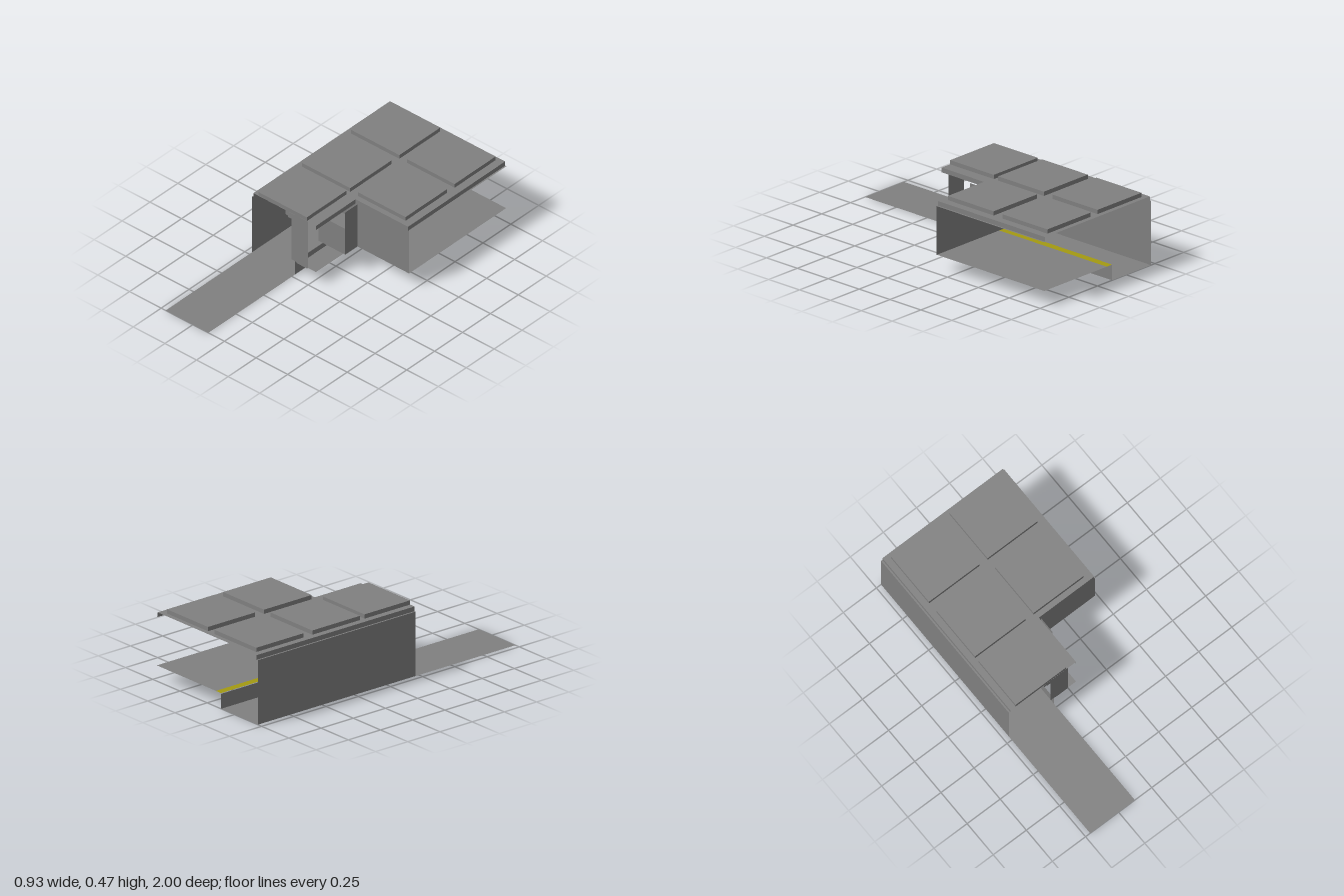
import * as THREE from 'three';

export function createModel() {
  const group = new THREE.Group();
  const concrete = new THREE.MeshStandardMaterial({ color: 0x808080, side: THREE.DoubleSide });
  concrete.name = 'concrete grey';
  const yellow = new THREE.MeshStandardMaterial({ color: 0xa39a12, side: THREE.DoubleSide });
  yellow.name = 'safety yellow';

  function add(name, geometry, material = concrete) {
    const mesh = new THREE.Mesh(geometry, material);
    mesh.name = name;
    group.add(mesh);
    return mesh;
  }
  // Thin sheets facing up, sideways (+x) and forwards (+z)
  function floor(name, x0, x1, z0, z1, y, material) {
    const g = new THREE.PlaneGeometry(x1 - x0, z1 - z0).rotateX(-Math.PI / 2);
    return add(name, g.translate((x0 + x1) / 2, y, (z0 + z1) / 2), material);
  }
  function sideWall(name, x, y0, y1, z0, z1) {
    const g = new THREE.PlaneGeometry(z1 - z0, y1 - y0).rotateY(Math.PI / 2);
    return add(name, g.translate(x, (y0 + y1) / 2, (z0 + z1) / 2));
  }
  function frontWall(name, x0, x1, y0, y1, z) {
    const g = new THREE.PlaneGeometry(x1 - x0, y1 - y0);
    return add(name, g.translate((x0 + x1) / 2, (y0 + y1) / 2, z));
  }
  const points = (list) => list.map(([a, b]) => new THREE.Vector2(a, b));

  const back = -1, mid = -0.13, front = 0.225;
  const roofY = 0.44, tileY = 0.467, deckY = 0.1;

  // Track bed and platform
  floor('trackBed', -0.465, -0.127, back, 1, 0);
  floor('platformDeck', -0.08, 0.463, back, mid, deckY);
  floor('platformEdgeStripe', -0.127, -0.08, back, -0.08, deckY, yellow);
  floor('entranceFloor', -0.09, 0.04, mid, front, deckY);
  sideWall('platformEdgeWall', -0.127, 0, deckY - 0.005, back, front);
  frontWall('floorLip', -0.115, -0.025, 0.092, deckY, front);

  // Long wall beside the track
  sideWall('trackWall', -0.465, 0, 0.41, back, front);

  // L-shaped roof, pierced by the coffers
  const roof = new THREE.Shape(points([
    [-0.455, -front], [0.04, -front], [0.04, -mid], [0.455, -mid], [0.455, -back], [-0.455, -back],
  ]));
  const leftX = [-0.415, -0.033], rightX = [0.028, 0.404];
  const rows = [[-0.97, -0.605], [-0.535, -0.165]];
  const coffers = [];
  for (const [z0, z1] of rows) {
    for (const [x0, x1] of [leftX, rightX]) coffers.push([x0, x1, z0, z1]);
  }
  coffers.push([...leftX, -0.13, front - 0.001]);
  for (const [x0, x1, z0, z1] of coffers) {
    roof.holes.push(new THREE.Path(points([[x0, -z0], [x1, -z0], [x1, -z1], [x0, -z1]])));
    floor('cofferTop', x0, x1, z0, z1, tileY);
    for (const x of [x0, x1]) sideWall('cofferSide', x, roofY, tileY, z0, z1);
    for (const z of [z0, z1]) frontWall('cofferEnd', x0, x1, roofY, tileY, z);
  }
  add('roofPlate', new THREE.ShapeGeometry(roof).rotateX(-Math.PI / 2).translate(0, roofY, 0));

  // Stepped trim along the outer roof edges
  for (const [side, z1] of [[-1, front], [1, mid]]) {
    sideWall('roofFascia', side * 0.455, 0.41, roofY, back, z1);
    const a = side * 0.455, b = side * 0.465;
    floor('roofLedge', Math.min(a, b), Math.max(a, b), back, z1, 0.41);
  }
  sideWall('entranceFascia', 0.04, 0.41, roofY, mid, front);

  // Front wall across the platform end
  frontWall('platformEndWall', -0.155, 0.455, deckY, roofY, mid);
  frontWall('platformEndWallEdge', 0.455, 0.464, deckY, 0.41, mid);

  // Pier with a stepped bracket
  add('frontPier', new THREE.ShapeGeometry(new THREE.Shape(points([
    [-0.153, deckY], [-0.022, deckY], [-0.022, roofY], [-0.2, roofY],
    [-0.2, 0.41], [-0.18, 0.41], [-0.18, 0.398], [-0.153, 0.398],
  ]))).translate(0, 0, front));

  // Booth in the entrance
  frontWall('boothFront', -0.155, 0.055, deckY, 0.29, -0.02);
  sideWall('boothSideWall', 0.055, deckY, 0.41, mid, -0.02);
  floor('boothCounter', -0.155, 0.055, mid, -0.02, 0.29);
  sideWall('boothInnerSide', -0.155, deckY, 0.29, mid, -0.02);

  return group;
}
